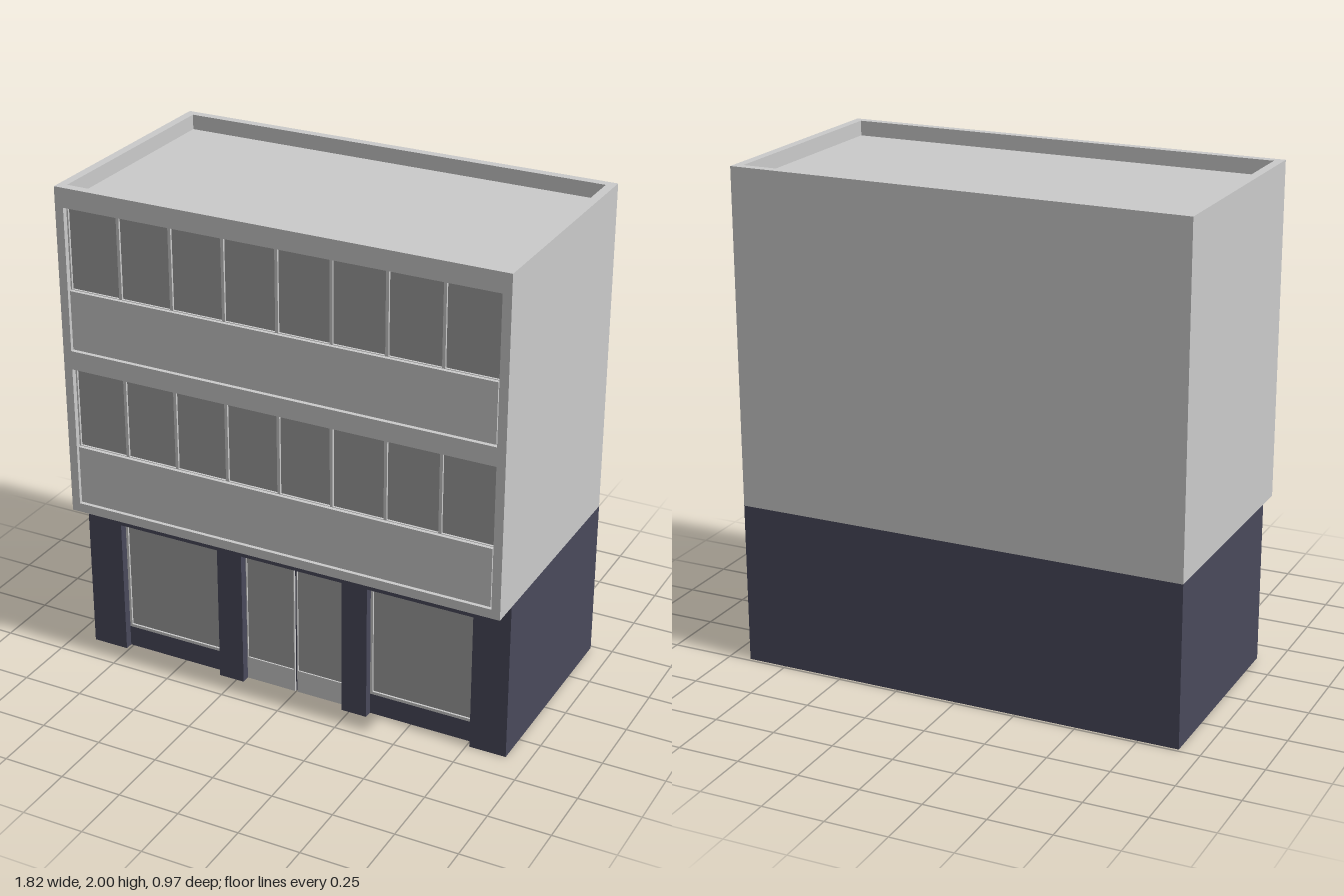
import * as THREE from 'three';

const wall = new THREE.MeshStandardMaterial({ color: 0xcccccc });
const navy = new THREE.MeshStandardMaterial({ color: 0x49495b });
const glass = new THREE.MeshStandardMaterial({ color: 0x9f9f9f });

const W = 0.912, D = 0.487;          // half width and half depth
const FLOOR = 0.655, ROOF = 1.94;    // bottom of the upper storeys, roof deck
const SHOP_Z = 0.38, SHOP_BACK = 0.335, UPPER_BACK = 0.452;

export function createModel() {
  const model = new THREE.Group();

  const add = (name, geometry, material) => {
    const mesh = new THREE.Mesh(geometry, material);
    mesh.name = name;
    model.add(mesh);
    return mesh;
  };

  // Box given by its limits on each axis
  const box = (name, material, x0, x1, y0, y1, z0, z1) =>
    add(name, new THREE.BoxGeometry(x1 - x0, y1 - y0, z1 - z0), material)
      .position.set((x0 + x1) / 2, (y0 + y1) / 2, (z0 + z1) / 2);

  const rect = (x0, x1, y0, y1) => [[x0, y0], [x1, y0], [x1, y1], [x0, y1]].map(p => new THREE.Vector2(...p));

  // Upright plate with rectangular holes, from z0 to z1
  const plate = (name, material, outline, holes, z0, z1) => {
    const shape = new THREE.Shape(outline);
    holes.forEach(h => shape.holes.push(new THREE.Path(rect(...h).reverse())));
    const g = new THREE.ExtrudeGeometry(shape, { depth: z1 - z0, bevelEnabled: false });
    return add(name, g.translate(0, 0, z0), material);
  };

  // Upper storeys: core, front wall with two window bands
  const bands = [0.692, 1.345], bandX = 0.877, bandH = 0.577, panelH = 0.245;
  box('upperCore', wall, -W, W, FLOOR, ROOF, -D, UPPER_BACK);
  plate('upperFront', wall, rect(-W, W, FLOOR, ROOF),
    bands.map(y => [-bandX, bandX, y, y + bandH]), UPPER_BACK, D);

  // Roof parapet
  const rim = 0.035;
  plate('parapet', wall, rect(-W, W, -D, D), [[-W + rim, W - rim, -D + rim, D - rim]], 0, 2 - ROOF)
    .rotation.x = -Math.PI / 2;
  model.getObjectByName('parapet').position.y = ROOF;

  // Window bands: spandrel panel below, a row of eight panes above
  for (const y of bands) {
    const sill = y + panelH, top = y + bandH, bar = 0.006;
    box('spandrelPanel', wall, -bandX + bar, bandX - bar, y + bar, sill, UPPER_BACK, D - 0.006);
    const pitch = 2 * bandX / 8, panes = [];
    for (let i = 0; i < 8; i++) {
      const x = -bandX + i * pitch;
      panes.push([x + bar, x + pitch - bar, sill + 0.002, top - bar]);
    }
    plate('windowFrame', wall, rect(-bandX, bandX, sill, top), panes, UPPER_BACK, UPPER_BACK + 0.014);
    panes.forEach(p => box('windowPane', glass, ...p, UPPER_BACK, UPPER_BACK + 0.005));
  }

  // Ground floor: core and front wall cut by three recessed bays
  const bayTop = 0.57, bays = [[-0.762, -0.325], [-0.218, 0.218], [0.325, 0.762]];
  box('shopCore', navy, -W, W, 0, FLOOR, -D, SHOP_BACK);
  const outline = [[-W, 0]];
  bays.forEach(([a, b]) => outline.push([a, 0], [a, bayTop], [b, bayTop], [b, 0]));
  outline.push([W, 0], [W, FLOOR], [-W, FLOOR]);
  plate('shopFront', navy, outline.map(p => new THREE.Vector2(...p)), [], SHOP_BACK, SHOP_Z);

  // Shop windows over low walls
  for (const [a, b] of [bays[0], bays[2]]) {
    const pane = [a + 0.01, b - 0.01, 0.1, bayTop - 0.01];
    box('shopLowWall', navy, a, b, 0, 0.088, SHOP_BACK, SHOP_BACK + 0.012);
    plate('shopWindowFrame', wall, rect(a, b, 0.088, bayTop), [pane], SHOP_BACK, SHOP_BACK + 0.012);
    box('shopWindowPane', glass, ...pane, SHOP_BACK, SHOP_BACK + 0.004);
  }

  // Double door: each leaf has a pale kick plate and a glass panel
  for (const s of [-1, 1]) {
    const [a, b] = s < 0 ? [-0.218, -0.005] : [0.005, 0.218];
    const pane = [a + 0.004, b - 0.004, 0.097, bayTop - 0.006];
    plate('doorLeaf', wall, rect(a, b, 0, bayTop), [pane], SHOP_BACK, SHOP_BACK + 0.01);
    box('doorPane', glass, ...pane, SHOP_BACK, SHOP_BACK + 0.004);
  }

  return model;
}
